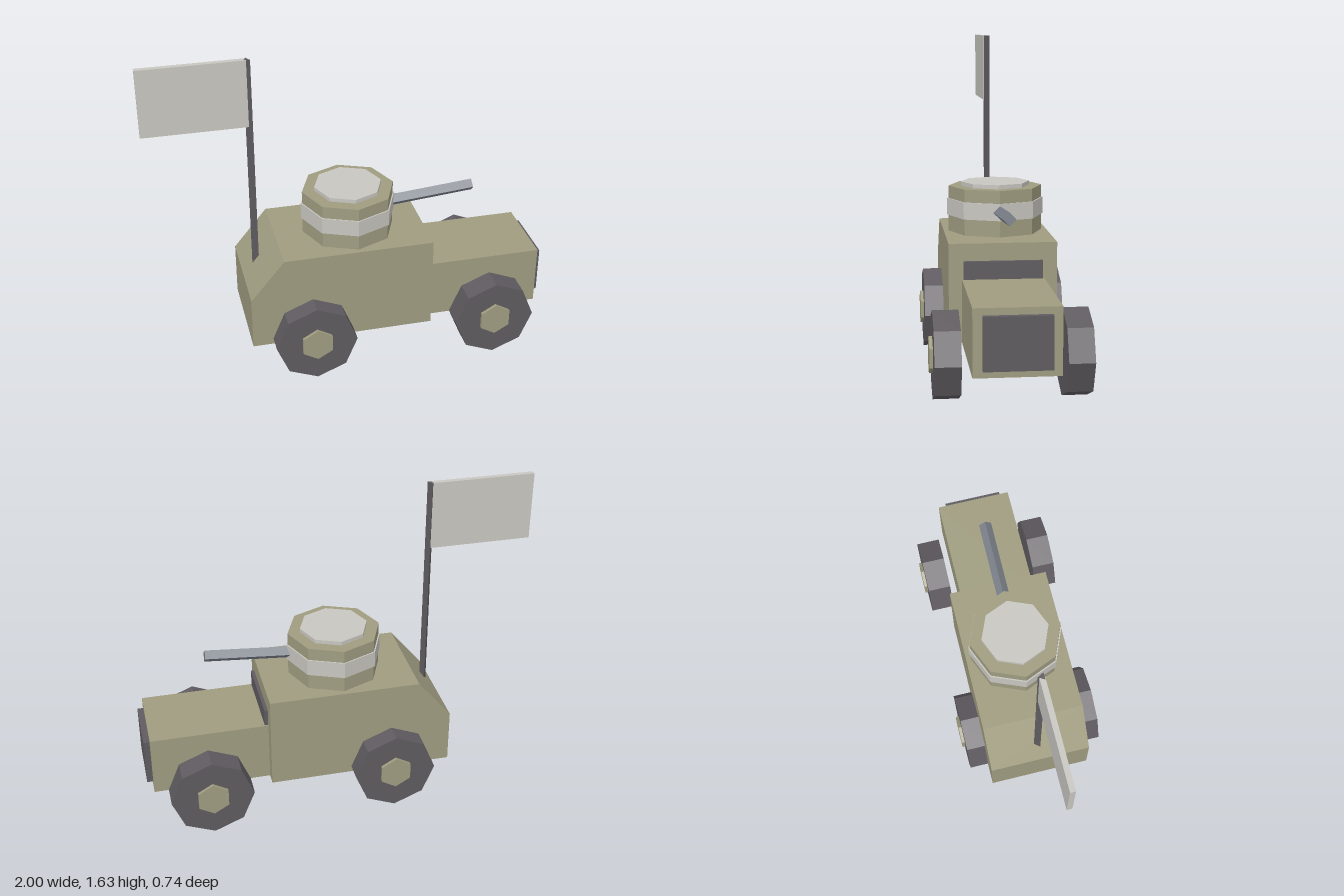
import * as THREE from 'three';

const mat = (name, color) => {
  const m = new THREE.MeshStandardMaterial({ color, flatShading: true });
  m.name = name;
  return m;
};

export function createModel() {
  const olive = mat('olive paint', 0x9f9c80);
  const dark = mat('dark rubber', 0x5f5b60);
  const pale = mat('pale grey', 0xc8c6c0);
  const steel = mat('gun steel', 0x7b8089);

  const model = new THREE.Group();
  model.name = 'armouredCar';

  const add = (name, geometry, material, x = 0, y = 0, z = 0) => {
    const mesh = new THREE.Mesh(geometry, material);
    mesh.name = name;
    mesh.position.set(x, y, z);
    model.add(mesh);
    return mesh;
  };
  // Box given by its lower and upper corners
  const box = (name, material, [x0, y0, z0], [x1, y1, z1]) =>
    add(name, new THREE.BoxGeometry(x1 - x0, y1 - y0, z1 - z0), material,
      (x0 + x1) / 2, (y0 + y1) / 2, (z0 + z1) / 2);
  // Upright prism between two heights
  const prism = (name, material, r, sides, y0, y1, x = 0) =>
    add(name, new THREE.CylinderGeometry(r, r, y1 - y0, sides), material, x, (y0 + y1) / 2, 0);

  // Cabin with a sloping rear
  const side = new THREE.Shape([
    [-0.55, 0.175], [0.38, 0.175], [0.38, 0.657], [-0.38, 0.657], [-0.55, 0.45],
  ].map(([x, y]) => new THREE.Vector2(x, y)));
  const cabin = new THREE.ExtrudeGeometry(side, { depth: 0.52, bevelEnabled: false });
  cabin.translate(0, 0, -0.26);
  add('cabin', cabin, olive);

  // Hood, windscreen and grille
  box('hood', olive, [0.37, 0.175, -0.197], [0.97, 0.485, 0.197]);
  box('windscreen', dark, [0.37, 0.45, -0.19], [0.397, 0.572, 0.19]);
  box('grille', dark, [0.96, 0.21, -0.154], [1.0, 0.452, 0.154]);

  // Wheels with hexagonal hubs
  for (const x of [-0.24, 0.694]) {
    for (const s of [-1, 1]) {
      const tyre = new THREE.CylinderGeometry(0.207, 0.207, 0.12, 8).rotateX(Math.PI / 2);
      add('wheel', tyre, dark, x, 0.207, s * 0.296);
      const hub = new THREE.CylinderGeometry(0.086, 0.086, 0.06, 6).rotateX(Math.PI / 2);
      add('hub', hub, olive, x, 0.21, s * 0.342);
    }
  }

  // Turret, its band and hatch
  prism('turret', olive, 0.235, 8, 0.65, 0.885);
  prism('turretBand', pale, 0.242, 8, 0.738, 0.822);
  prism('hatch', pale, 0.172, 8, 0.88, 0.905);

  // Gun barrel, a diamond section tilted slightly upward
  const tilt = 0.083;
  const length = 0.46;
  const gun = add('gunBarrel', new THREE.CylinderGeometry(0.032, 0.032, length, 4), steel,
    0.655 - Math.cos(tilt) * length / 2, 0.814 - Math.sin(tilt) * length / 2, 0);
  gun.rotation.z = tilt - Math.PI / 2;

  // Three-sided flagpole and flag
  prism('flagpole', dark, 0.02, 3, 0.45, 1.627, -0.483).rotation.y = Math.PI;
  box('flag', pale, [-1.0, 1.283, -0.014], [-0.485, 1.627, 0.012]);

  return model;
}
